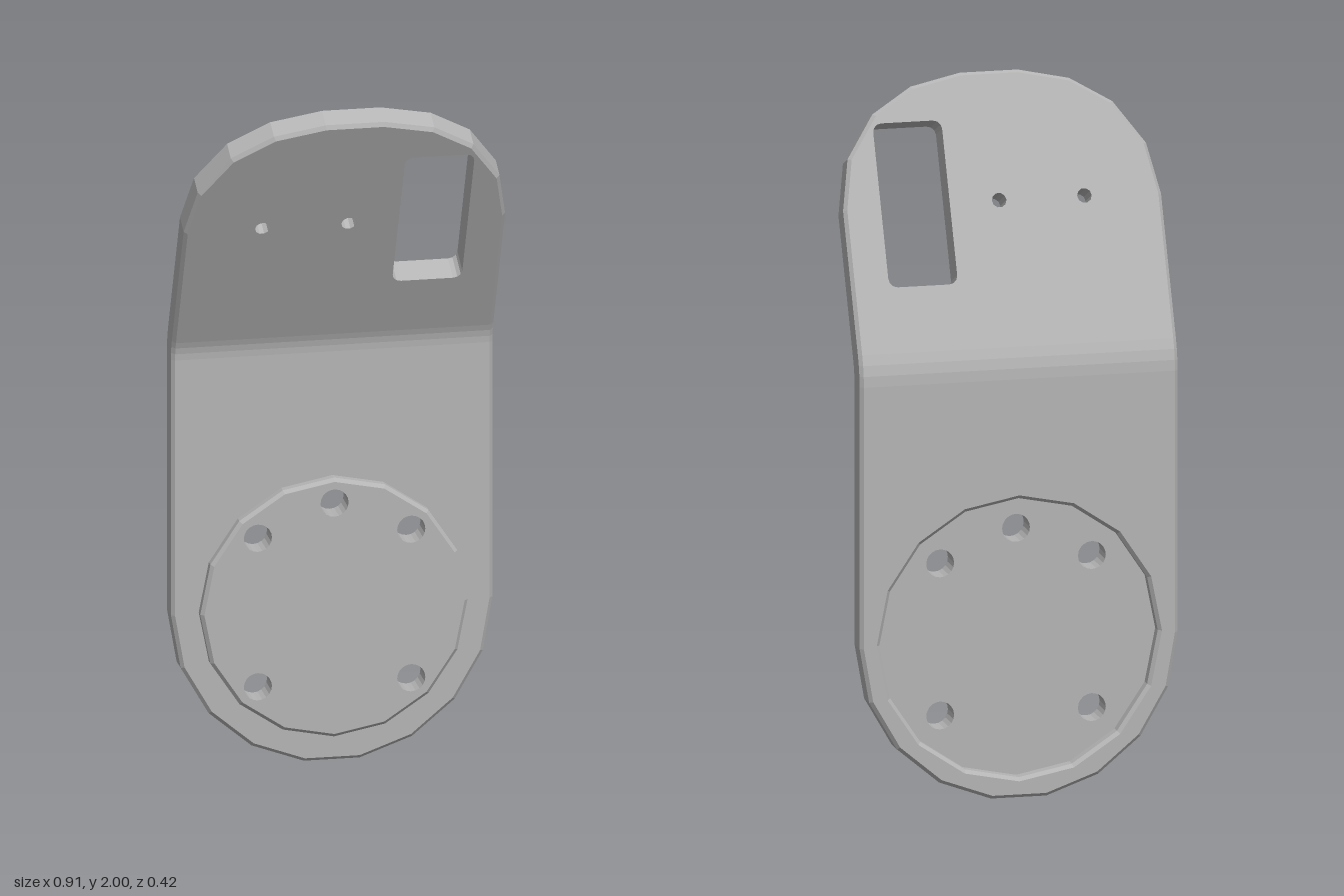
import * as THREE from 'three';

const W = 0.457, T = 0.08, C = 0.01;            // half width, thickness, chamfer
const FRONT = -0.133, BEND_Y = 1.2, R = 0.13;   // front face, start and inner radius of the bend
const ANGLE = THREE.MathUtils.degToRad(25);
const DISC_Y = 0.457;

// Collects triangles from strips between rings and from flat faces with holes
class Builder {
  constructor() { this.pos = []; }
  tri(a, b, c) { this.pos.push(...a, ...b, ...c); }
  // Join rings; counter-clockwise rings stacked along +z face outward
  strip(rings, closed = true) {
    for (let k = 0; k + 1 < rings.length; k++) {
      const A = rings[k], B = rings[k + 1], n = A.length;
      for (let i = 0; i < (closed ? n : n - 1); i++) {
        const j = (i + 1) % n;
        this.tri(A[i], A[j], B[j]);
        this.tri(A[i], B[j], B[i]);
      }
    }
  }
  face(outline, holes, z, toFront) {
    const v = (p) => new THREE.Vector2(p[0], p[1]);
    const contour = outline.map(v);
    const cuts = holes.map((h) => h.map(v).reverse());
    const all = [...contour, ...cuts.flat()].map((p) => [p.x, p.y, z]);
    for (const [a, b, c] of THREE.ShapeUtils.triangulateShape(contour, cuts)) {
      if (toFront) this.tri(all[a], all[b], all[c]);
      else this.tri(all[a], all[c], all[b]);
    }
  }
  mesh(name, material) {
    const g = new THREE.BufferGeometry();
    g.setAttribute('position', new THREE.Float32BufferAttribute(this.pos, 3));
    g.computeVertexNormals();
    const m = new THREE.Mesh(g, material);
    m.name = name;
    return m;
  }
}

const at = (ring, z) => ring.map(([x, y]) => [x, y, z]);

function circle(cx, cy, r, sides) {
  return Array.from({ length: sides }, (_, i) => {
    const a = (i / sides) * Math.PI * 2;
    return [cx + r * Math.cos(a), cy + r * Math.sin(a)];
  });
}

function roundedRect(x0, y0, x1, y1, r) {
  const pts = [];
  [[x1 - r, y1 - r], [x0 + r, y1 - r], [x0 + r, y0 + r], [x1 - r, y0 + r]].forEach(([cx, cy], q) => {
    for (let i = 0; i <= 3; i++) {
      const a = (q + i / 3) * Math.PI / 2;
      pts.push([cx + r * Math.cos(a), cy + r * Math.sin(a)]);
    }
  });
  return pts;
}

// Lower outline: straight sides and a nine-sided half round
function lowerOutline(inset) {
  const r = W - inset, pts = [[-r, BEND_Y]];
  for (let i = 0; i <= 9; i++) {
    const a = Math.PI + (i / 9) * Math.PI;
    pts.push([r * Math.cos(a), 0.45 + r * Math.sin(a)]);
  }
  pts.push([r, BEND_Y]);
  return pts;
}

// Upper outline: straight sides and a slightly flattened round end
function upperOutline(inset) {
  const kx = 1 - inset / W, ky = 1 - inset / 0.375;
  const half = [[W, 0], [0.429, 0.147], [0.345, 0.271], [0.228, 0.344], [0.083, 0.376]]
    .map(([x, y]) => [x * kx, 0.415 + y * ky]);
  const other = half.map(([x, y]) => [-x, y]).reverse();
  return [[W * kx, 0], ...half, ...other, [-W * kx, 0]];
}

// Chamfered plate edge, open along the side that meets the bend
function plate(b, outline, frontHoles, backHoles) {
  const full = outline(0), inner = outline(C);
  b.strip([at(inner, -T), at(full, -T + C), at(full, -C), at(inner, 0)], false);
  b.face(inner, frontHoles, 0, true);
  b.face(inner, backHoles, -T, false);
}

export function createModel() {
  const model = new THREE.Group();
  model.name = 'bentMountingPlate';
  const grey = new THREE.MeshStandardMaterial({ color: 0xb4b4b4 });
  grey.name = 'plainGrey';
  grey.flatShading = true;

  // Lower plate, open where the disc stands out and the back is recessed
  const disc = (r) => circle(0, DISC_Y, r, 16);
  const lower = new Builder();
  plate(lower, lowerOutline, [disc(0.38)], [disc(0.41)]);
  const lowerPlate = lower.mesh('lowerPlate', grey);
  lowerPlate.position.z = FRONT;
  model.add(lowerPlate);

  // Mounting disc: raised at the front, hollow at the back, five through holes
  const top = 0.033, floor = -T + 0.04, d = 0.218;
  const bolts = [[0, 0.308], [d, d], [-d, d], [d, -d], [-d, -d]]
    .map(([x, y]) => circle(x, DISC_Y + y, 0.04, 20));
  const mount = new Builder();
  mount.strip([at(disc(0.38), 0), at(disc(0.38), top - C), at(disc(0.37), top)]);
  mount.face(disc(0.37), bolts, top, true);
  mount.strip([at(disc(0.4), floor), at(disc(0.4), -T + C), at(disc(0.41), -T)]);
  mount.face(disc(0.4), bolts, floor, false);
  for (const h of bolts) mount.strip([at(h, top), at(h, floor)]);
  const mountingDisc = mount.mesh('mountingDisc', grey);
  mountingDisc.position.z = FRONT;
  model.add(mountingDisc);

  // Bend: chamfered section swept round a short arc
  const w = W - C;
  const section = [[W, -C], [W, -T + C], [w, -T], [-w, -T], [-W, -T + C], [-W, -C], [-w, 0], [w, 0]];
  const rows = [0, 1, 2, 3].map((k) => {
    const a = ANGLE * k / 3;
    return section.map(([x, n]) => [x, BEND_Y + (R - n) * Math.sin(a), FRONT + R - (R - n) * Math.cos(a)]);
  });
  const bend = new Builder();
  bend.strip(rows);
  model.add(bend.mesh('bend', grey));

  // Upper plate, leaning forward, with a slot and two small holes
  const cuts = [
    roundedRect(0.152, 0.188, 0.35, 0.657, 0.025),
    circle(-0.235, 0.42, 0.021, 10),
    circle(0.01, 0.42, 0.021, 10),
  ];
  const upper = new Builder();
  plate(upper, upperOutline, cuts, cuts);
  for (const h of cuts) upper.strip([at(h, 0), at(h, -T)]);
  const upperPlate = upper.mesh('upperPlate', grey);
  upperPlate.rotation.x = ANGLE;
  upperPlate.position.set(0, BEND_Y + R * Math.sin(ANGLE), FRONT + R * (1 - Math.cos(ANGLE)));
  model.add(upperPlate);

  return model;
}
